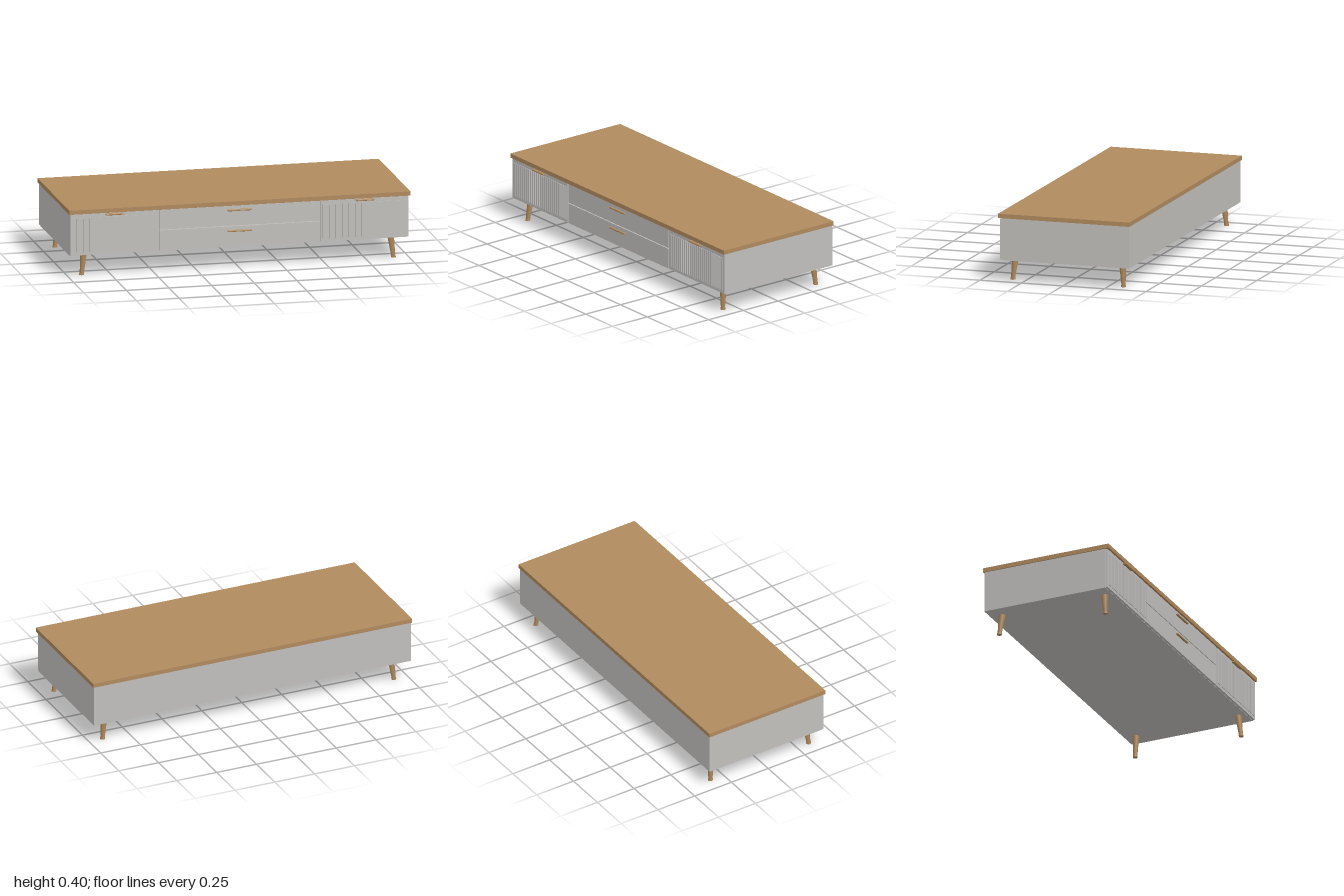
import * as THREE from 'three';
import { RoundedBoxGeometry } from 'three/addons/geometries/RoundedBoxGeometry.js';

export function createModel() {
  const model = new THREE.Group();
  model.name = 'mediaConsole';
  const wood = new THREE.MeshStandardMaterial({ name: 'oak wood', color: 0xb08a5e });
  const grey = new THREE.MeshStandardMaterial({ name: 'pale grey paint', color: 0xc1bfbc });

  function add(name, geometry, material, parent = model) {
    const mesh = new THREE.Mesh(geometry, material);
    mesh.name = name;
    parent.add(mesh);
    return mesh;
  }

  // Box given by its lower and upper limits on each axis
  function box(name, [x0, x1], [y0, y1], [z0, z1], material, parent) {
    const mesh = add(name, new THREE.BoxGeometry(x1 - x0, y1 - y0, z1 - z0), material, parent);
    mesh.position.set((x0 + x1) / 2, (y0 + y1) / 2, (z0 + z1) / 2);
    return mesh;
  }

  // Bar handle with softened edges
  function handle(name, x, y, z0, z1, width, parent) {
    const mesh = add(name, new RoundedBoxGeometry(width, 0.01, z1 - z0, 2, 0.003), wood, parent);
    mesh.position.set(x, y, (z0 + z1) / 2);
  }

  // Top and carcass
  box('top', [-1, 1], [0.37, 0.395], [-0.4, 0.39], wood);
  box('cabinetBody', [-0.994, 0.994], [0.125, 0.37], [-0.395, 0.367], grey);

  // Two central drawers
  [[0.127, 0.247, 0.221], [0.252, 0.367, 0.343]].forEach(([y0, y1, handleY], i) => {
    const drawer = new THREE.Group();
    drawer.name = i ? 'upperDrawer' : 'lowerDrawer';
    model.add(drawer);
    box('drawerFront', [-0.469, 0.469], [y0, y1], [0.367, 0.381], grey, drawer);
    handle('drawerHandle', 0, handleY, 0.381, 0.394, 0.14, drawer);
  });

  // Slatted side doors
  const slats = 26, slatStart = 0.487, slatEnd = 0.982;
  const pitch = (slatEnd - slatStart) / slats;
  for (const side of [-1, 1]) {
    const door = new THREE.Group();
    door.name = side > 0 ? 'leftDoor' : 'rightDoor';
    model.add(door);
    const span = (a, b) => (side > 0 ? [a, b] : [-b, -a]);
    box('doorPanel', span(0.476, 0.992), [0.127, 0.367], [0.367, 0.381], grey, door);
    for (let i = 0; i < slats; i++) {
      const x = slatStart + i * pitch;
      box('doorSlat', span(x, x + pitch * 0.6), [0.145, 0.345], [0.381, 0.386], grey, door);
    }
    handle('doorHandle', side * 0.733, 0.361, 0.381, 0.4, 0.107, door);
  }

  // Tapered legs with a small foot, leaning outward
  const profile = [[0, 0], [0.014, 0], [0.014, 0], [0.014, 0.011], [0.014, 0.011],
    [0.012, 0.011], [0.012, 0.011], [0.0195, 0.125]].map(([r, y]) => new THREE.Vector2(r, y));
  for (const sx of [-1, 1]) {
    for (const [topZ, footZ] of [[0.319, 0.331], [-0.326, -0.337]]) {
      const geometry = new THREE.LatheGeometry(profile, 24);
      const p = geometry.attributes.position;
      for (let i = 0; i < p.count; i++) {
        const t = p.getY(i) / 0.125;
        p.setX(i, p.getX(i) + sx * THREE.MathUtils.lerp(0.914, 0.9, t));
        p.setZ(i, p.getZ(i) + THREE.MathUtils.lerp(footZ, topZ, t));
      }
      add((topZ > 0 ? 'front' : 'back') + (sx > 0 ? 'Left' : 'Right') + 'Leg', geometry, wood);
    }
  }
  return model;
}
